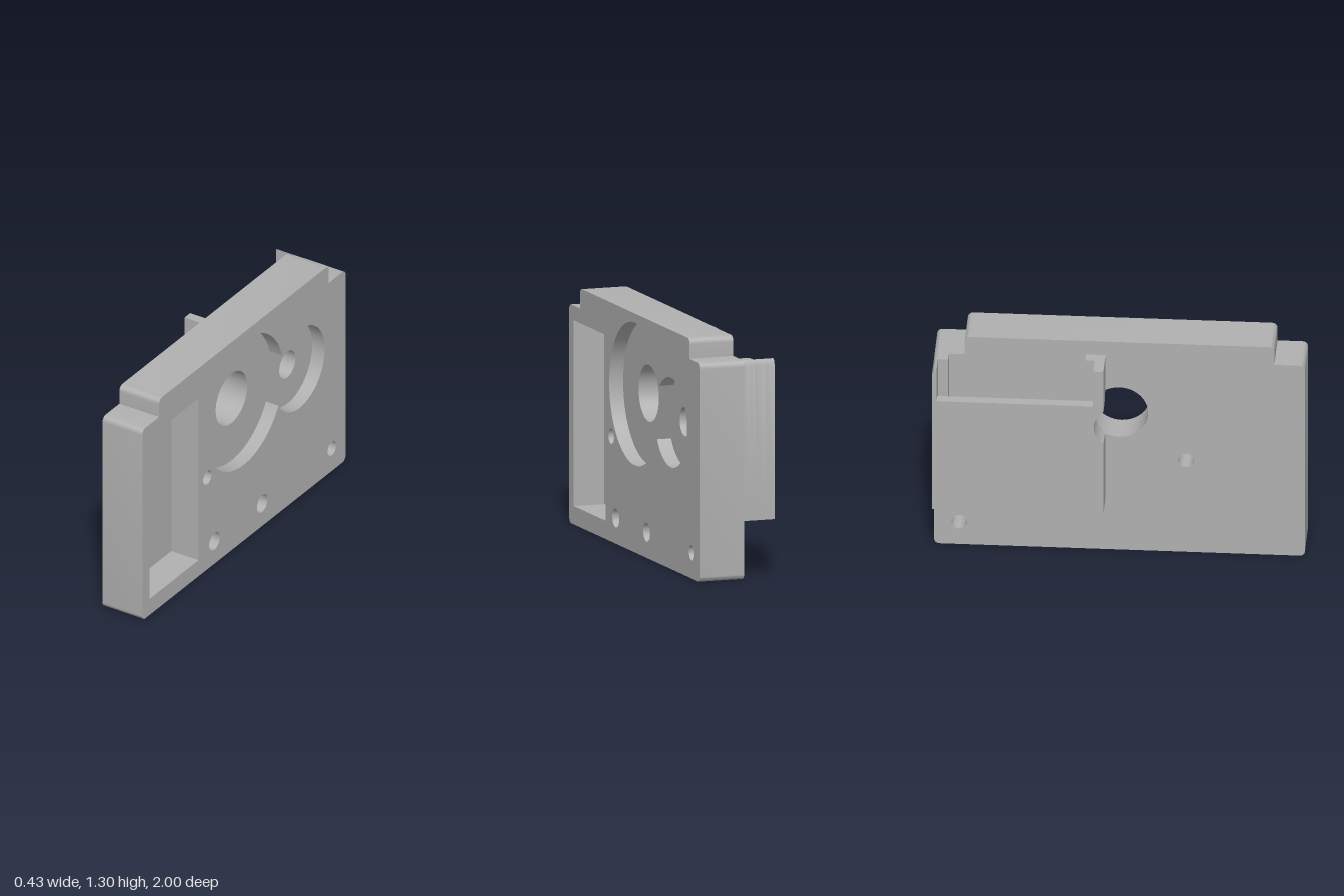
import * as THREE from 'three';
import { mergeGeometries, toCreasedNormals } from 'three/addons/utils/BufferGeometryUtils.js';

// Profiles are drawn as [u, y] with u = -z, and given depth along x.
const arc = (cu, cy, r, a0, a1, n = 24) =>
  Array.from({ length: n + 1 }, (_, i) => {
    const a = a0 + ((a1 - a0) * i) / n;
    return [cu + r * Math.cos(a), cy + r * Math.sin(a)];
  });
const circle = (u, y, r, n = 48) => arc(u, y, r, 0, 2 * Math.PI, n).slice(0, -1);
const rect = (u0, y0, u1, y1) => [[u0, y0], [u1, y0], [u1, y1], [u0, y1]];

// Side faces of a counter-clockwise profile; inward faces line a hole.
function walls(profile, x0, x1, inward = false) {
  const p = inward ? [...profile].reverse() : profile;
  const pos = [];
  p.forEach(([au, ay], i) => {
    const [bu, by] = p[(i + 1) % p.length];
    pos.push(au, ay, x0, bu, by, x0, bu, by, x1, bu, by, x1, au, ay, x1, au, ay, x0);
  });
  const g = new THREE.BufferGeometry();
  g.setAttribute('position', new THREE.Float32BufferAttribute(pos, 3));
  return toCreasedNormals(g, 0.5);
}

// Flat face with holes at depth x, facing +x (dir 1) or -x (dir -1).
function cap(profile, holes, x, dir) {
  const vec = (p) => p.map(([u, y]) => new THREE.Vector2(u, y));
  const shape = new THREE.Shape(vec(profile));
  shape.holes = holes.map((h) => new THREE.Path(vec(h)));
  const g = new THREE.ShapeGeometry(shape).toNonIndexed();
  g.deleteAttribute('uv');
  if (dir < 0) {
    const a = g.attributes.position;
    for (let i = 0; i < a.count; i += 3) {
      const u = a.getX(i + 1), y = a.getY(i + 1);
      a.setXY(i + 1, a.getX(i + 2), a.getY(i + 2));
      a.setXY(i + 2, u, y);
    }
    g.computeVertexNormals();
  }
  return g.translate(0, 0, x);
}

const BACK = -0.04, FRONT = 0.215, RECESS = 0.135, FLOOR = 0.04, OUT = -0.215;
const PI = Math.PI, BORE = [0, 0.865], GEAR = [0.55, 0.8];

// Plate outline with raised middle and rounded corners
function plateOutline() {
  const r = 0.03, w = 0.835, s = 1.195, t = 1.305;
  return [
    ...arc(-1 + r, r, r, PI, 1.5 * PI, 8), ...arc(1 - r, r, r, 1.5 * PI, 2 * PI, 8),
    ...arc(1 - r, s - r, r, 0, PI / 2, 8), [w, s],
    ...arc(w - r, t - r, r, 0, PI / 2, 8), ...arc(-w + r, t - r, r, PI / 2, PI, 8),
    [-w, s], ...arc(-1 + r, s - r, r, PI / 2, PI, 8),
  ];
}

// Two overlapping circles joined into one recess
function doubleRecess() {
  const R = 0.39, r = 0.245, du = GEAR[0] - BORE[0], dy = GEAR[1] - BORE[1];
  const d = Math.hypot(du, dy), phi = Math.atan2(dy, du);
  const a = (d * d + R * R - r * r) / (2 * d), h = Math.sqrt(R * R - a * a);
  const al = Math.atan2(h, a), be = Math.atan2(h, d - a);
  return [
    ...arc(...BORE, R, phi + al, phi + 2 * PI - al, 60),
    ...arc(...GEAR, r, phi - PI + be, phi + PI - be, 44).slice(1, -1),
  ];
}

// Open-topped channel section, bitten by the main bore on its inner side
function channel(bite, u0, u1, floor) {
  const a = Math.acos(0.075 / bite);
  return [
    [0.075, 0.32], [1, 0.32], [1, 1.165], [0.991, 1.186], [0.975, 1.195],
    ...(u1 < 0.97 ? [[u1, 1.195]] : []), [u1, floor], [u0, floor],
    [u0, 1.22], [0.075, 1.22], ...arc(...BORE, bite, a, -a, 24),
  ];
}

export function createModel() {
  const group = new THREE.Group();
  const grey = new THREE.MeshStandardMaterial({ color: 0xb0b0b0 });
  grey.name = 'plain grey';
  const add = (name, ...geos) => {
    const mesh = new THREE.Mesh(mergeGeometries(geos).rotateY(PI / 2), grey);
    mesh.name = name;
    group.add(mesh);
  };

  const outline = plateOutline(), recess = doubleRecess();
  const bore = circle(...BORE, 0.155, 64), gearHole = circle(...GEAR, 0.08);
  const pocket = rect(-0.93, 0.1, -0.445, 1.115);
  const through = [circle(-0.36, 0.575, 0.042), circle(0.865, 0.14, 0.042)];
  const blind = [circle(-0.29, 0.14, 0.052), circle(0.18, 0.14, 0.052)];

  // Main plate
  add('plate', walls(outline, BACK, FRONT),
    cap(outline, [recess, pocket, ...through, ...blind], FRONT, 1),
    cap(outline, [bore, gearHole, ...through], BACK, -1));
  add('doubleRecess', walls(recess, RECESS, FRONT, true), cap(recess, [bore, gearHole], RECESS, 1));
  add('mainBore', walls(bore, BACK, RECESS, true));
  add('gearHole', walls(gearHole, BACK, RECESS, true));
  add('pocket', walls(pocket, FLOOR, FRONT, true), cap(pocket, [], FLOOR, 1));
  through.forEach((h) => add('throughHole', walls(h, BACK, FRONT, true)));
  blind.forEach((h) => add('blindHole', walls(h, FLOOR, FRONT, true), cap(h, [], FLOOR, 1)));

  // Holder on the far side: stepped layers of an open-topped channel
  const base = 0.37, lip = 1.0, small = 0.127, large = 0.155;
  const outer = channel(small, 0.13, 0.975, lip);
  add('holder',
    walls(channel(large, 0.18, 0.92, base), -0.075, BACK),
    walls(channel(small, 0.18, 0.92, base), -0.1, -0.075),
    walls(channel(small, 0.13, 0.975, base), -0.16, -0.1),
    walls(outer, OUT, -0.16),
    cap(outer, [], OUT, -1));
  add('holderInnerFaces',
    cap(rect(0.13, base, 0.975, lip), [], -0.16, 1),
    cap(rect(0.13, base, 0.18, 1.22), [], -0.1, -1),
    cap(rect(0.92, base, 0.975, 1.195), [], -0.1, -1));

  // Shoulder where the bore narrows inside the holder
  const aL = Math.acos(0.075 / large), aS = Math.acos(0.075 / small);
  add('boreShoulder', cap([
    ...arc(...BORE, large, -aL, aL), ...arc(...BORE, small, aS, -aS)], [], -0.075, 1));
  return group;
}
